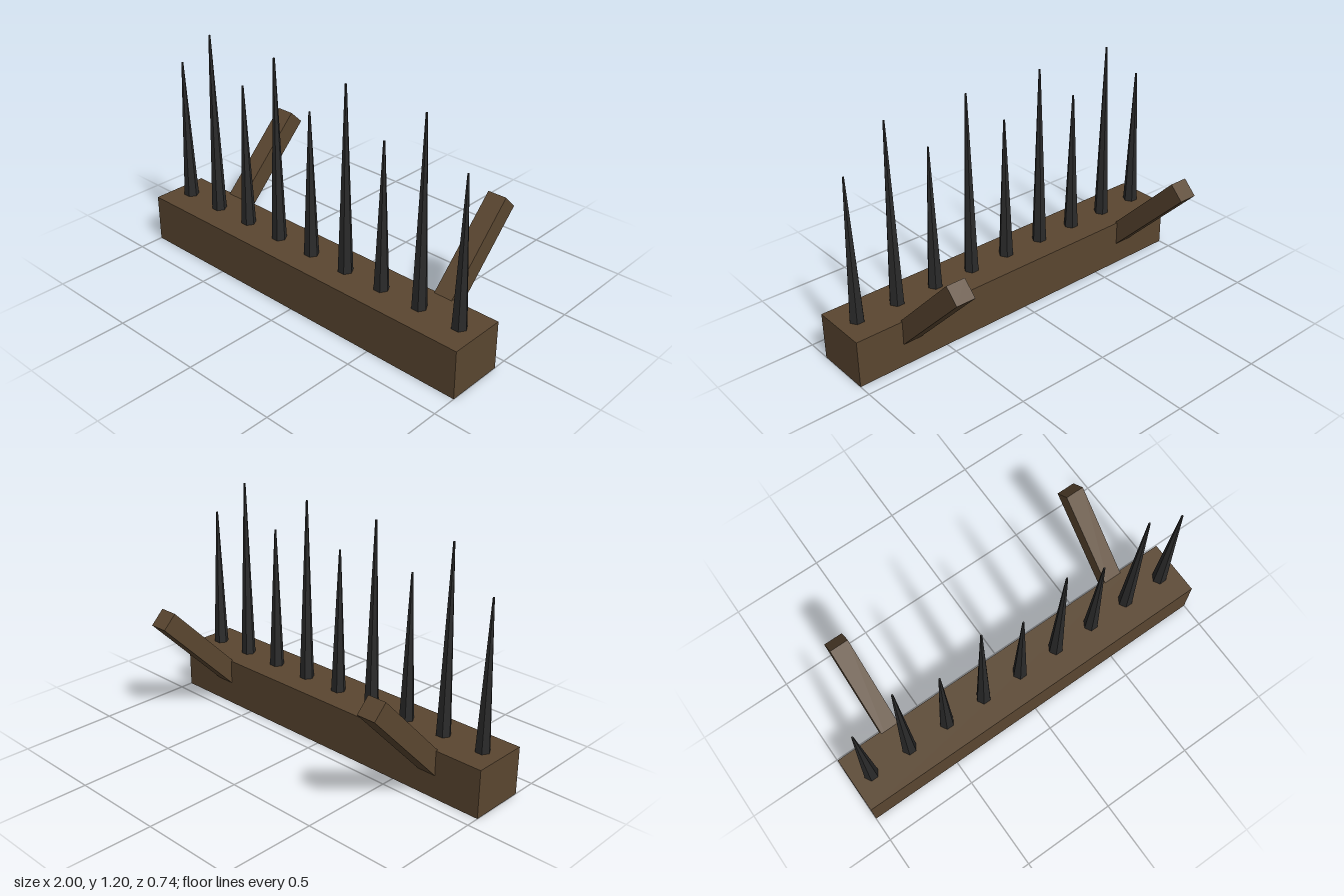
import * as THREE from 'three';

export function createModel() {
  const group = new THREE.Group();
  const wood = new THREE.MeshStandardMaterial({ color: 0x5a4630, flatShading: true });
  const iron = new THREE.MeshStandardMaterial({ color: 0x2a2a2a, flatShading: true });

  const add = (name, geometry, material, x, y, z) => {
    const mesh = new THREE.Mesh(geometry, material);
    mesh.name = name;
    mesh.position.set(x, y, z);
    group.add(mesh);
    return mesh;
  };

  // Heavy beam along the front
  const beamTop = 0.25, beamZ = 0.22;
  add('beam', new THREE.BoxGeometry(2, beamTop, 0.3), wood, 0, beamTop / 2, beamZ);

  // Row of nine six-sided spikes, alternating short and tall
  for (let i = 0; i < 9; i++) {
    const height = (i % 2 ? 1.2 : 1.0) - beamTop;
    const geometry = new THREE.CylinderGeometry(0.005, 0.0385, height, 6);
    geometry.rotateY(Math.PI / 6);
    add('spike', geometry, iron, (i - 4) * 0.225, beamTop + height / 2, beamZ);
  }

  // Two braces rising backwards from the beam; their lower ends sit inside it
  const length = 0.64, lean = 0.79;
  for (const side of [-1, 1]) {
    const brace = add('brace', new THREE.BoxGeometry(0.1, 0.1, length), wood, side * 0.7,
      0.595 - Math.sin(lean) * length / 2, -0.33 + Math.cos(lean) * length / 2);
    brace.rotation.x = lean;
  }

  return group;
}
